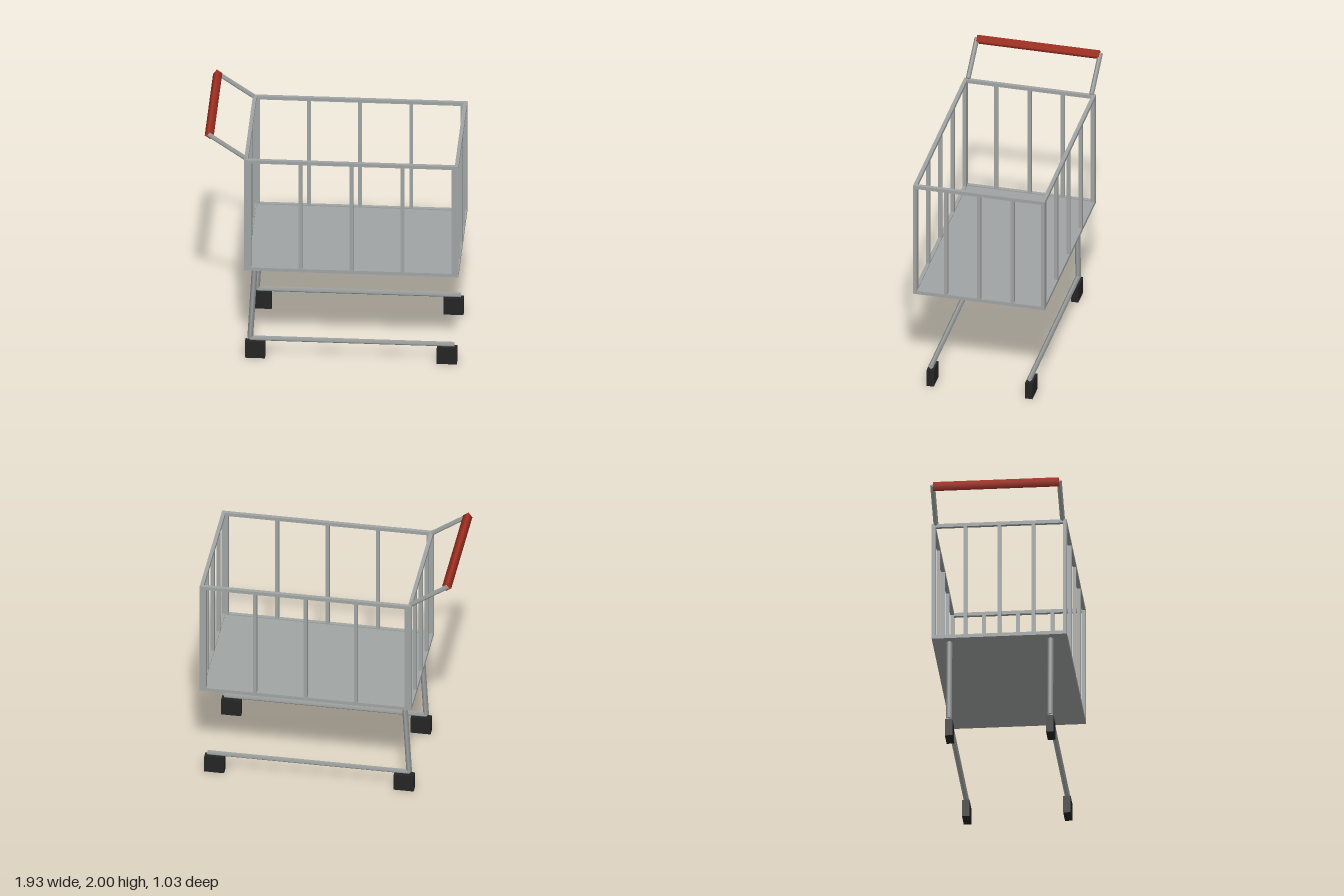
import * as THREE from 'three';

export function createModel() {
  const cart = new THREE.Group();
  cart.name = 'cart';

  const metal = new THREE.MeshStandardMaterial({ color: 0xa0a4a3 });
  metal.name = 'grey metal';
  const red = new THREE.MeshStandardMaterial({ color: 0xa83224 });
  red.name = 'red grip';
  const rubber = new THREE.MeshStandardMaterial({ color: 0x242424 });
  rubber.name = 'black rubber';

  // Box given by its centre and size
  function box(name, material, [x, y, z], [w, h, d]) {
    const mesh = new THREE.Mesh(new THREE.BoxGeometry(w, h, d), material);
    mesh.name = name;
    mesh.position.set(x, y, z);
    cart.add(mesh);
  }

  // Four-sided tube between two points
  function tube(name, material, from, to, radius) {
    const a = new THREE.Vector3(...from), b = new THREE.Vector3(...to);
    const dir = b.clone().sub(a);
    const mesh = new THREE.Mesh(new THREE.CylinderGeometry(radius, radius, dir.length(), 4), material);
    mesh.name = name;
    mesh.position.copy(a).add(b).multiplyScalar(0.5);
    mesh.quaternion.setFromUnitVectors(new THREE.Vector3(0, 1, 0), dir.normalize());
    cart.add(mesh);
    return mesh;
  }

  // Basket extents
  const x0 = -0.665, x1 = 0.967, y0 = 0.815, y1 = 1.775, zMax = 0.515, bar = 0.028;
  const midX = (x0 + x1) / 2, midY = (y0 + y1) / 2;
  const postHeight = y1 - y0 - 2 * bar;
  const xBack = x0 + bar / 2, xFront = x1 - bar / 2, zSide = zMax - bar / 2;

  box('basketFloor', metal, [midX, y0 + 0.01, 0], [x1 - x0 - 0.002, 0.02, 2 * zMax - 0.002]);

  // Rims at the top and bottom of the basket
  for (const y of [y0 + bar / 2, y1 - bar / 2]) {
    for (const s of [-1, 1]) box('sideRim', metal, [midX, y, s * zSide], [x1 - x0, bar, bar]);
    for (const x of [xBack, xFront]) box('endRim', metal, [x, y, 0], [bar, bar, 2 * (zMax - bar)]);
  }

  // Upright bars on the long sides
  for (const s of [-1, 1]) {
    for (let i = 0; i < 5; i++) {
      box('sidePost', metal, [-0.626 + i * 0.389, midY, s * zSide], [bar, postHeight, bar]);
    }
  }
  // Upright bars on the short ends
  for (const x of [xBack, xFront]) {
    for (const z of [-zSide, -0.26, 0, 0.26, zSide]) {
      box('endPost', metal, [x, midY, z], [bar, postHeight, bar]);
    }
  }

  // Handle arms, legs, base rails and wheels on both sides
  for (const s of [-1, 1]) {
    tube('handleArm', metal, [-0.655, 1.775, s * 0.483], [-0.94, 1.972, s * 0.483], 0.019);
    tube('rearLeg', metal, [-0.59, 0.82, s * 0.386], [-0.627, 0.16, s * 0.386], 0.022);
    tube('baseRail', metal, [-0.63, 0.16, s * 0.386], [0.928, 0.16, s * 0.386], 0.021);
    for (const x of [-0.589, 0.872]) {
      box('wheel', rubber, [x, 0.069, s * 0.386], [0.153, 0.138, 0.057]);
    }
  }

  // Grip, turned to follow the arms
  const grip = tube('grip', red, [-0.932, 1.965, -0.48], [-0.932, 1.965, 0.48], 0.036);
  grip.rotateY(0.17);

  return cart;
}
